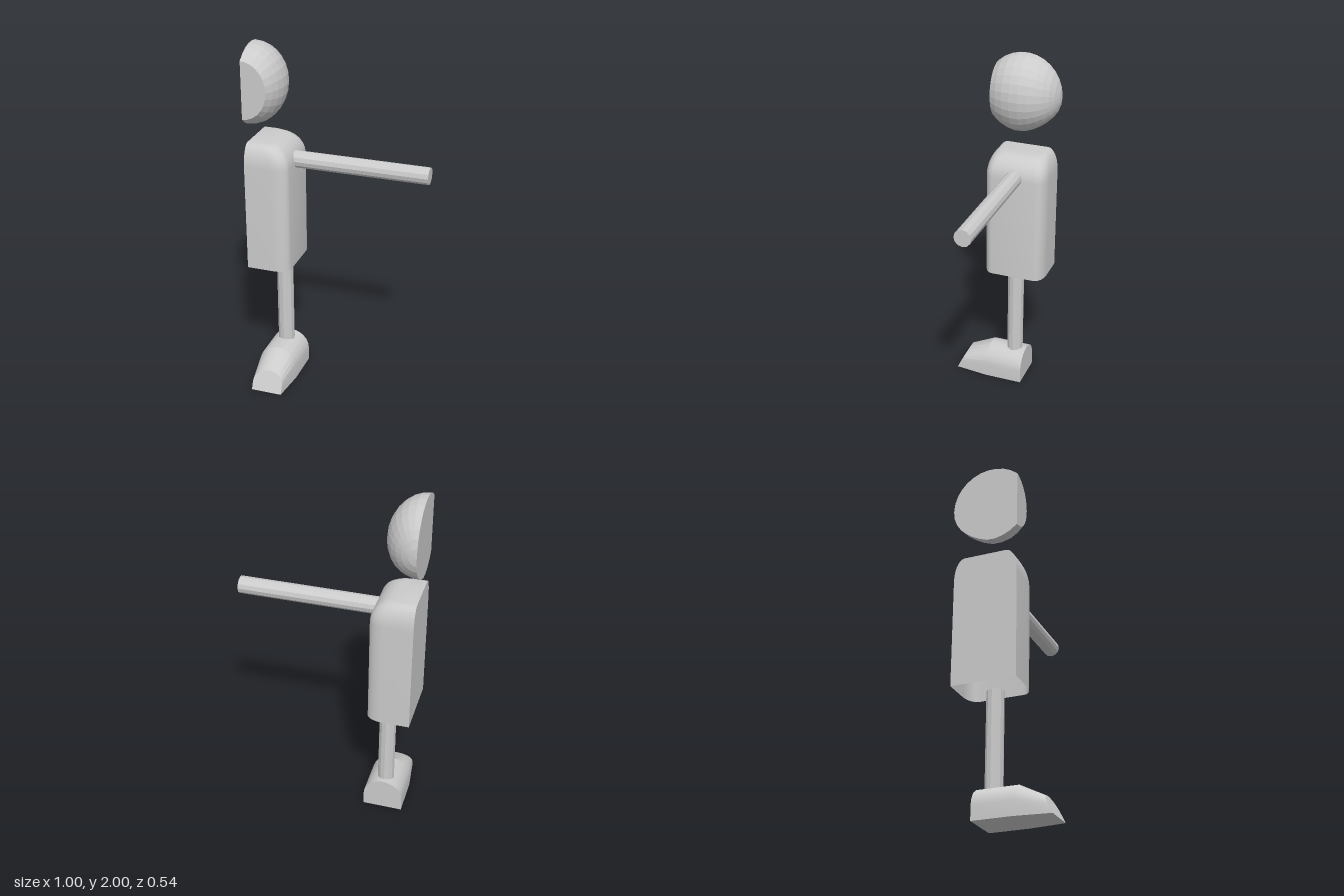
import * as THREE from 'three';
import { toCreasedNormals } from 'three/addons/utils/BufferGeometryUtils.js';

const CUT = -0.5; // flat mirror plane of the half figure
const material = new THREE.MeshStandardMaterial({ color: 0xcccccc });
const openMaterial = new THREE.MeshStandardMaterial({ color: 0xcccccc, side: THREE.DoubleSide });

// Skin closed rings of equal length; caps are fans around each ring's centre.
function loft(rings, capStart, capEnd, crease) {
  const pos = [];
  const tri = (...pts) => pts.forEach((p) => pos.push(p.x, p.y, p.z));
  const n = rings[0].length;
  const centre = (ring) =>
    ring.reduce((s, p) => s.add(p), new THREE.Vector3()).divideScalar(n);
  const first = rings[0], last = rings[rings.length - 1];
  const c0 = centre(first), c1 = centre(last);
  for (let j = 0; j < n; j++) {
    const k = (j + 1) % n;
    for (let i = 0; i < rings.length - 1; i++) {
      const a = rings[i], b = rings[i + 1];
      tri(a[j], a[k], b[k]);
      tri(a[j], b[k], b[j]);
    }
    if (capStart) tri(c0, first[k], first[j]);
    if (capEnd) tri(c1, last[j], last[k]);
  }
  const g = new THREE.BufferGeometry();
  g.setAttribute('position', new THREE.Float32BufferAttribute(pos, 3));
  return toCreasedNormals(g, crease);
}

// Half an egg, rings run from the back to the flat face
function headGeometry() {
  const rings = [], steps = 11, sides = 14;
  const zMid = -0.055, zFace = 0.106;
  const endAngle = Math.asin((zFace - zMid) / 0.23);
  for (let i = 0; i <= steps; i++) {
    const t = -Math.PI / 2 + 0.01 + (i / steps) * (endAngle + Math.PI / 2 - 0.01);
    const z = zMid + Math.sin(t) * (t < 0 ? 0.217 : 0.23);
    const r = Math.cos(t), ring = [];
    for (let j = 0; j <= sides; j++) {
      const a = -Math.PI / 2 + (j / sides) * Math.PI;
      // the lower back is drawn in towards the chin
      const pull = t < 0 && a < 0 ? 1 - 0.1 * Math.sin(-2 * t) * Math.sin(-a) : 1;
      ring.push(new THREE.Vector3(
        CUT + 0.195 * r * Math.cos(a), 1.772 + 0.228 * r * Math.sin(a) * pull, z));
    }
    rings.push(ring);
  }
  return loft(rings, true, true, 0.1);
}

// Plan section with two rounded outer corners
function torsoSection(y, width, depth) {
  const ring = [], rx = 0.09, rz = 0.055, zc = -0.076, steps = 6;
  ring.push(new THREE.Vector3(CUT, y, zc + depth));
  for (const side of [1, -1]) {
    for (let i = 0; i <= steps; i++) {
      const a = ((side > 0 ? i : steps - i) / steps) * Math.PI / 2;
      ring.push(new THREE.Vector3(
        CUT + width - rx + rx * Math.sin(a), y,
        zc + side * (depth - rz + rz * Math.cos(a))));
    }
  }
  ring.push(new THREE.Vector3(CUT, y, zc - depth));
  return ring;
}

// Open below, rounded over at the shoulder
function torsoGeometry() {
  const rings = [torsoSection(0.715, 0.243, 0.182)];
  for (let i = 0; i <= 7; i++) {
    const t = (i / 7) * Math.PI / 2, inset = 1 - Math.cos(t);
    rings.push(torsoSection(1.33 + 0.13 * Math.sin(t), 0.243 - 0.12 * inset, 0.182 - 0.06 * inset));
  }
  return loft(rings, false, true, 0.7);
}

// Arched section with a flat sole; lean tilts it backwards
function footSection(z, halfWidth, height, lean) {
  const ring = [], base = height * 0.42;
  const add = (x, y) => ring.push(new THREE.Vector3(-0.343 + x, y, z - lean * y));
  add(halfWidth, 0);
  for (let i = 0; i <= 12; i++) {
    const a = (i / 12) * Math.PI;
    add(halfWidth * Math.cos(a), base + (height - base) * Math.sin(a));
  }
  add(-halfWidth, 0);
  return ring;
}

function footGeometry() {
  return loft([
    footSection(-0.147, 0.113, 0.188, 0),
    footSection(0.075, 0.113, 0.188, 0),
    footSection(0.272, 0.09, 0.115, 0.48),
  ], true, true, 0.45);
}

export function createModel() {
  const group = new THREE.Group();
  const add = (name, geometry, mat = material) => {
    const mesh = new THREE.Mesh(geometry, mat);
    mesh.name = name;
    group.add(mesh);
    return mesh;
  };
  const rod = (length) =>
    toCreasedNormals(new THREE.CylinderGeometry(0.048, 0.048, length, 12), 0.3);

  add('head', headGeometry());
  add('torso', torsoGeometry(), openMaterial);

  // Arm reaches straight out to the side
  const arm = add('arm', rod(0.79));
  arm.rotation.z = -Math.PI / 2;
  arm.position.set(0.105, 1.345, -0.076);

  const leg = add('leg', rod(0.545));
  leg.position.set(-0.343, 0.4435, -0.073);

  add('foot', footGeometry());
  return group;
}
